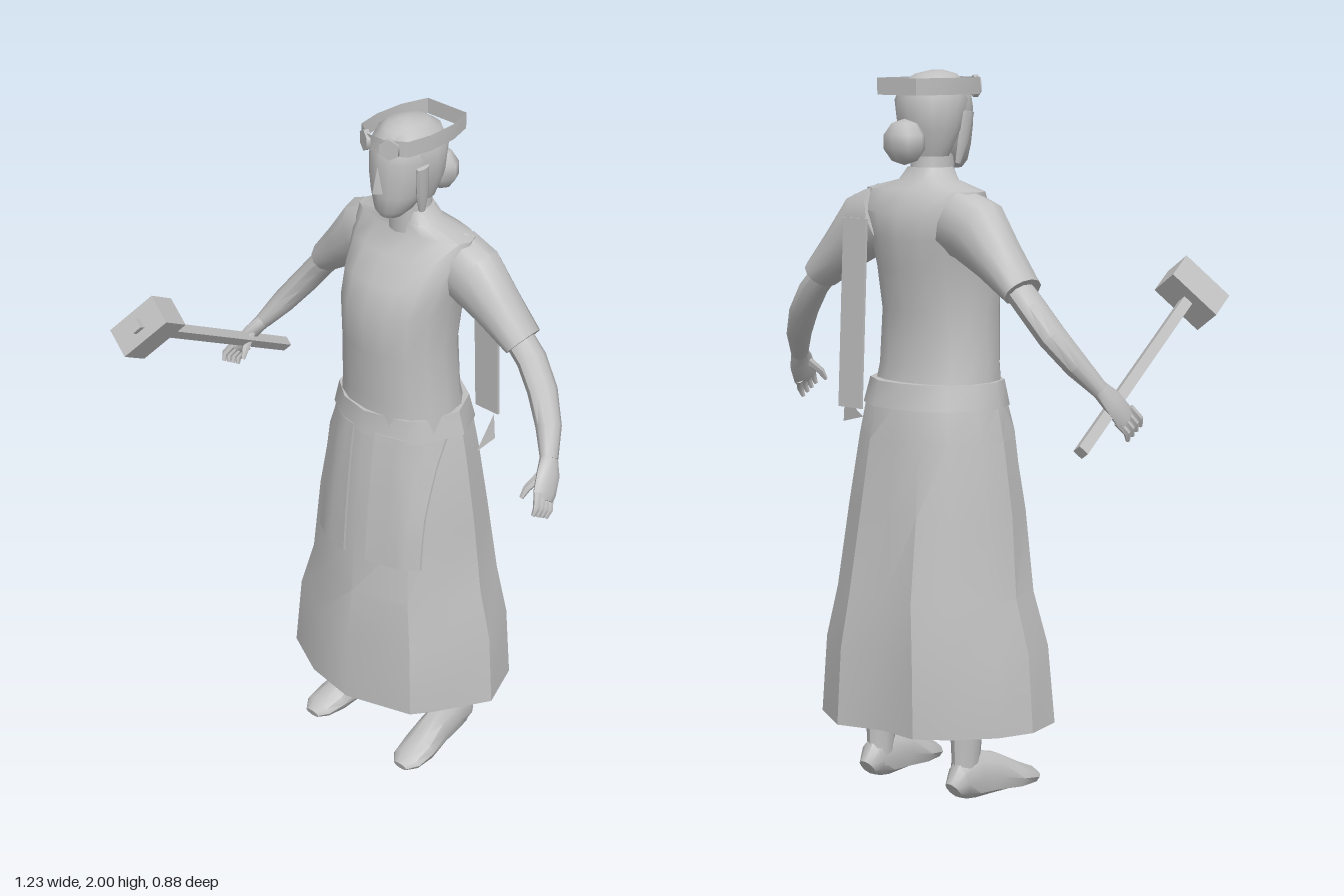
import * as THREE from 'three';
import { toCreasedNormals } from 'three/addons/utils/BufferGeometryUtils.js';

const V = (x, y, z) => new THREE.Vector3(x, y, z);
const clay = new THREE.MeshStandardMaterial({ color: 0xc0c0c0 });
clay.name = 'plain grey';
const thin = clay.clone();
thin.side = THREE.DoubleSide;

// Skin a list of equal-length rings, closing both ends unless open.
function loft(rings, { open = false, crease = 0.7 } = {}) {
  const n = rings[0].length, pts = rings.flat(), idx = [];
  for (let r = 0; r < rings.length - 1; r++)
    for (let i = 0; i < n; i++) {
      const a = r * n + i, b = r * n + (i + 1) % n;
      idx.push(a, b, b + n, a, b + n, a + n);
    }
  if (!open) [0, rings.length - 1].forEach((r, end) => {
    const c = pts.length;
    pts.push(rings[r].reduce((s, p) => s.add(p), V(0, 0, 0)).divideScalar(n));
    for (let i = 0; i < n; i++) {
      const a = r * n + i, b = r * n + (i + 1) % n;
      idx.push(...(end ? [a, b, c] : [b, a, c]));
    }
  });
  // turn the faces outward whatever the ring direction
  let vol = 0;
  for (let i = 0; i < idx.length; i += 3)
    vol += pts[idx[i]].dot(V(0, 0, 0).crossVectors(pts[idx[i + 1]], pts[idx[i + 2]]));
  if (vol < 0) idx.reverse();
  const g = new THREE.BufferGeometry().setFromPoints(pts);
  g.setIndex(idx);
  return toCreasedNormals(g, crease);
}

// Level ring: height, half width, front z, back z; power > 2 squares it off.
function level([y, hw, zf, zb], n = 16, power = 2.2) {
  const bend = v => Math.sign(v) * Math.abs(v) ** (2 / power);
  return Array.from({ length: n }, (_, i) => {
    const a = i / n * Math.PI * 2;
    return V(hw * bend(Math.sin(a)), y, (zf + zb) / 2 + (zf - zb) / 2 * bend(Math.cos(a)));
  });
}

// Elliptical tube through [x, y, z, radius along side, other radius].
function limb(points, side = V(0, 0, 1), n = 10, options) {
  const at = i => V(...points[Math.max(0, Math.min(points.length - 1, i))].slice(0, 3));
  return loft(points.map((p, k) => {
    const t = at(k + 1).sub(at(k - 1)).normalize();
    const u = side.clone().addScaledVector(t, -side.dot(t)).normalize();
    const v = t.clone().cross(u);
    return Array.from({ length: n }, (_, i) => {
      const a = i / n * Math.PI * 2;
      const q = at(k).addScaledVector(u, p[3] * Math.cos(a)).addScaledVector(v, p[4] * Math.sin(a));
      q.y = Math.max(0, q.y);
      return q;
    });
  }), options);
}

// Skirt: an irregular hem that becomes an ellipse at the waist.
const hem = [[0, .07], [.2, .005], [.24, -.05], [.33, -.21], [.27, -.36], [.135, -.44], [0, -.4],
  [-.12, -.41], [-.21, -.345], [-.29, -.25], [-.33, -.15], [-.31, -.03], [-.16, .045]];
const skirtRows = [[.2, .33, .07, -.44], [.42, .315, .065, -.435], [.57, .275, .045, -.42],
  [.8, .255, .03, -.385], [1, .225, .01, -.36], [1.1, .205, -.005, -.345], [1.16, .19, -.012, -.33]];
function skirtRing(y, grow = 0) {
  let k = 0;
  while (k < skirtRows.length - 2 && skirtRows[k + 1][0] < y) k++;
  const a = skirtRows[k], b = skirtRows[k + 1], f = (y - a[0]) / (b[0] - a[0]);
  const [, hw, zf, zb] = a.map((v, i) => v + (b[i] - v) * f);
  const round = Math.min(1, (y - .2) / .96) * .85;
  return hem.map(([x, z]) => {
    const nx = x / .33, nz = (z + .185) / .255, ang = Math.atan2(nx, nz);
    return V((nx + (Math.sin(ang) - nx) * round) * (hw + grow), y,
      (zf + zb) / 2 + (nz + (Math.cos(ang) - nz) * round) * ((zf - zb) / 2 + grow));
  });
}
// Front surface of the skirt at x, y
function skirtFront(x, y) {
  const ring = skirtRing(y);
  let best = -.2;
  ring.forEach((p, i) => {
    const q = ring[(i + 1) % ring.length];
    if ((p.x - x) * (q.x - x) <= 0 && p.x !== q.x)
      best = Math.max(best, p.z + (q.z - p.z) * (x - p.x) / (q.x - p.x));
  });
  return best;
}

export function createModel() {
  const model = new THREE.Group();
  model.name = 'smith';
  const add = (name, geometry, material = clay) => {
    const mesh = new THREE.Mesh(geometry, material);
    mesh.name = name;
    model.add(mesh);
    return mesh;
  };

  // Clothes
  add('skirt', loft(skirtRows.map(r => skirtRing(r[0])), { crease: .5 }));
  add('belt', loft([1.09, 1.16].map(y => skirtRing(y, .006))));
  add('torso', loft([[1.1, .19, -.015, -.325], [1.2, .178, -.018, -.3], [1.35, .165, -.005, -.3],
    [1.47, .17, 0, -.32], [1.55, .182, -.03, -.33], [1.62, .197, -.085, -.33], [1.68, .198, -.135, -.295],
    [1.705, .09, -.135, -.27], [1.74, .06, -.135, -.255]].map(r => level(r)), { crease: .8 }));
  for (const s of [-1, 1]) {
    const pocket = new THREE.BoxGeometry(.15, .41, .008, 5, 5, 1);
    pocket.translate(s * .115, .895, .004);
    const p = pocket.attributes.position;
    for (let i = 0; i < p.count; i++) p.setZ(i, p.getZ(i) + skirtFront(p.getX(i), p.getY(i)));
    pocket.computeVertexNormals();
    add('apronPocket', pocket);
  }
  const strap = add('hangingStrap', new THREE.BoxGeometry(.085, .52, .008));
  strap.position.set(.157, 1.34, -.34);
  strap.rotation.x = .05;
  const flap = new THREE.BufferGeometry().setFromPoints([V(.235, 1.03, -.22), V(.225, 1.03, -.31), V(.21, 1.1, -.32)]);
  flap.computeVertexNormals();
  add('beltFlap', flap, thin);

  // Head and hair
  add('neck', loft([[1.66, .065, -.13, -.27], [1.74, .054, -.125, -.25], [1.82, .055, -.12, -.25]].map(r => level(r))));
  add('head', loft([[1.735, .03, -.08, -.15], [1.755, .05, -.066, -.18], [1.8, .073, -.062, -.23], [1.85, .084, -.058, -.26],
    [1.9, .09, -.06, -.28], [1.95, .085, -.068, -.28], [1.985, .05, -.1, -.24]].map(r => level(r, 16, 2)), { crease: .9 }));
  add('hair', loft([[1.77, .06, -.15, -.255], [1.84, .09, -.115, -.28], [1.92, .098, -.085, -.293],
    [1.965, .082, -.085, -.275], [1.99, .05, -.11, -.235], [2, .015, -.15, -.18]].map(r => level(r, 16, 2)), { crease: .9 }));
  const nose = add('nose', new THREE.ConeGeometry(.019, .075, 4));
  nose.position.set(0, 1.853, -.058);
  const bun = add('hairBun', new THREE.SphereGeometry(1, 8, 5));
  bun.scale.set(.066, .062, .05);
  bun.position.set(0, 1.81, -.3);

  // Goggles pushed up on the forehead
  const bandRing = y => [[.03, -.05], [.085, -.085], [.099, -.16], [.095, -.25], [.07, -.33],
    [-.07, -.33], [-.095, -.25], [-.099, -.16], [-.085, -.085], [-.03, -.05]].map(([x, z]) => V(x, y, z));
  add('goggleBand', loft([1.935, 1.98].map(bandRing), { open: true }), thin);

  for (const s of [-1, 1]) {
    const mirror = pts => pts.map(([x, ...rest]) => [s * x, ...rest]);
    add('hairLock', limb(mirror([[.088, 1.89, -.14, .022, .01], [.078, 1.81, -.15, .022, .012], [.068, 1.75, -.16, .01, .008]])));
    const lens = add('goggleLens', new THREE.CylinderGeometry(.03, .03, .015, 6));
    lens.rotation.set(Math.PI / 2, 0, -s * .45);
    lens.position.set(s * .043, 1.955, -.058);

    // Arms
    add('sleeve', limb(mirror([[.13, 1.6, -.23, .085, .095], [.2, 1.575, -.23, .085, .095],
      [.28, 1.505, -.238, .072, .068], [.368, 1.428, -.245, .062, .047]]), undefined, 12));
    add('forearm', limb(mirror([[.32, 1.465, -.245, .045, .036], [.4, 1.385, -.245, .046, .037],
      [.455, 1.315, -.23, .045, .037], [.51, 1.24, -.195, .037, .034], [.553, 1.175, -.15, .026, .023]])));
    add('palm', limb(mirror([[.548, 1.183, -.155, .025, .022], [.572, 1.145, -.125, .04, .02],
      [.587, 1.105, -.095, .042, .017], [.592, 1.092, -.085, .036, .013]])));
    for (let f = 0; f < 4; f++) {
      const d = (f - 1.5) * .018;
      add('finger', limb(mirror([[.587, 1.105 + d * .6, -.092 + d, .011, .011],
        [.604, 1.075 + d * .6, -.07 + d, .01, .01], [.6, 1.053 + d * .6, -.062 + d, .006, .006]]), undefined, 6));
    }
    add('thumb', limb(mirror([[.562, 1.15, -.11, .014, .014], [.545, 1.115, -.07, .011, .011],
      [.54, 1.09, -.055, .006, .006]]), undefined, 6));

    // Legs and feet
    add('leg', limb(mirror([[.16, .4, -.23, .055, .045], [.16, .2, -.232, .052, .04],
      [.16, .12, -.235, .046, .035], [.16, .04, -.24, .045, .035]])));
    add('foot', limb(mirror([[.162, .035, -.29, .025, .03], [.163, .055, -.265, .038, .055], [.164, .06, -.21, .042, .075],
      [.17, .05, -.14, .045, .065], [.18, .03, -.06, .055, .043], [.185, .02, 0, .05, .026], [.185, .012, .03, .025, .012]]), V(1, 0, 0)));
  }

  // Hammer held in the right hand
  const hammer = new THREE.Group();
  hammer.name = 'hammer';
  const along = V(.105, .34, .61).normalize();
  const across = V(.1, .13, -.06);
  across.addScaledVector(along, -across.dot(along)).normalize();
  hammer.quaternion.setFromRotationMatrix(new THREE.Matrix4().makeBasis(across, along, across.clone().cross(along)));
  hammer.position.set(-.592, 1.03, -.28);
  for (const [name, size, y] of [['hammerHandle', [.03, .8, .03], .4], ['hammerHead', [.165, .095, .09], .735]]) {
    const part = new THREE.Mesh(new THREE.BoxGeometry(...size), clay);
    part.name = name;
    part.position.y = y;
    hammer.add(part);
  }
  model.add(hammer);
  return model;
}
